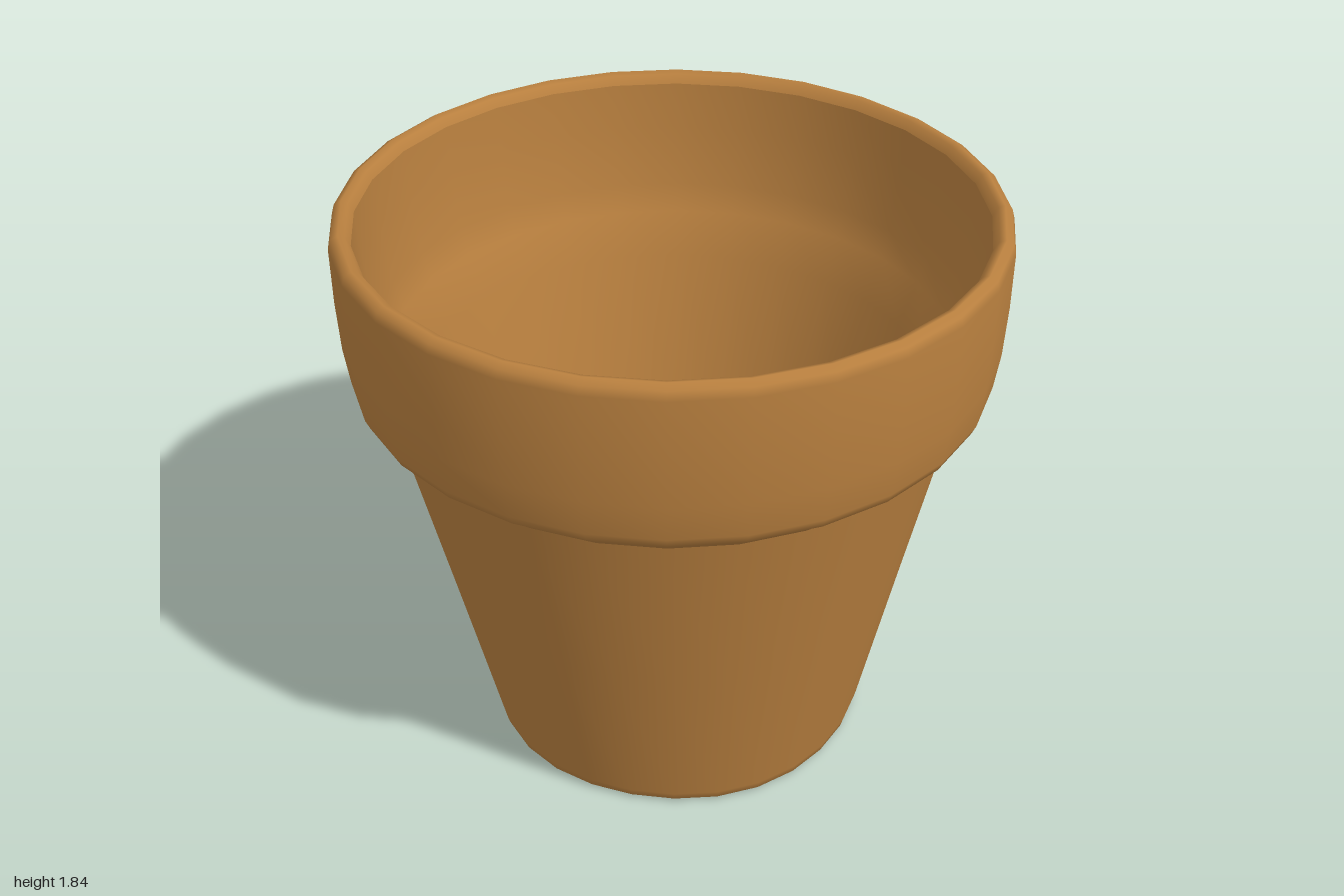
import * as THREE from 'three';

const SEGMENTS = 28;

// Slight hand-made irregularity: the foot sits off-centre, walls are not quite round.
function weather(geometry) {
  const p = geometry.attributes.position;
  for (let i = 0; i < p.count; i++) {
    const x = p.getX(i), y = p.getY(i), z = p.getZ(i);
    const a = Math.atan2(z, x);
    const low = 1 - Math.min(y / 1.25, 1);
    const k = 1 + 0.006 * Math.sin(5 * a + 1) * Math.min(1, low * 4);
    p.setXYZ(i, x * k + 0.018 * low, y, z * k - 0.01 * low);
  }
  return geometry;
}

export function createModel() {
  const pot = new THREE.Group();
  pot.name = 'flowerPot';
  const clay = new THREE.MeshStandardMaterial({ color: 0xb9803f });
  clay.name = 'terracotta';

  // Each part is one stretch of the closed wall profile, as [radius, height].
  const parts = {
    drainHole: [[0.13, 0.13], [0.13, 0.065]],
    underside: [[0.13, 0.065], [0.3, 0.055], [0.5, 0.03], [0.565, 0.004]],
    outerWall: [[0.565, 0.004], [0.6, 0], [0.617, 0.012], [0.625, 0.04], [0.75, 0.64],
      [0.86, 1.16], [0.877, 1.24]],
    rim: [[0.877, 1.24], [0.915, 1.275], [0.965, 1.315], [0.978, 1.345], [0.993, 1.46],
      [1, 1.62], [1, 1.795], [0.992, 1.822], [0.97, 1.835], [0.95, 1.828], [0.935, 1.8]],
    innerWall: [[0.935, 1.8], [0.925, 1.65], [0.9, 1.45], [0.87, 1.36], [0.81, 1.22],
      [0.7, 0.7], [0.6, 0.2], [0.565, 0.14]],
    floor: [[0.565, 0.14], [0.35, 0.135], [0.13, 0.13]],
  };

  for (const [name, profile] of Object.entries(parts)) {
    const points = profile.map(([r, y]) => new THREE.Vector2(r, y));
    const mesh = new THREE.Mesh(weather(new THREE.LatheGeometry(points, SEGMENTS)), clay);
    mesh.name = name;
    pot.add(mesh);
  }
  return pot;
}
